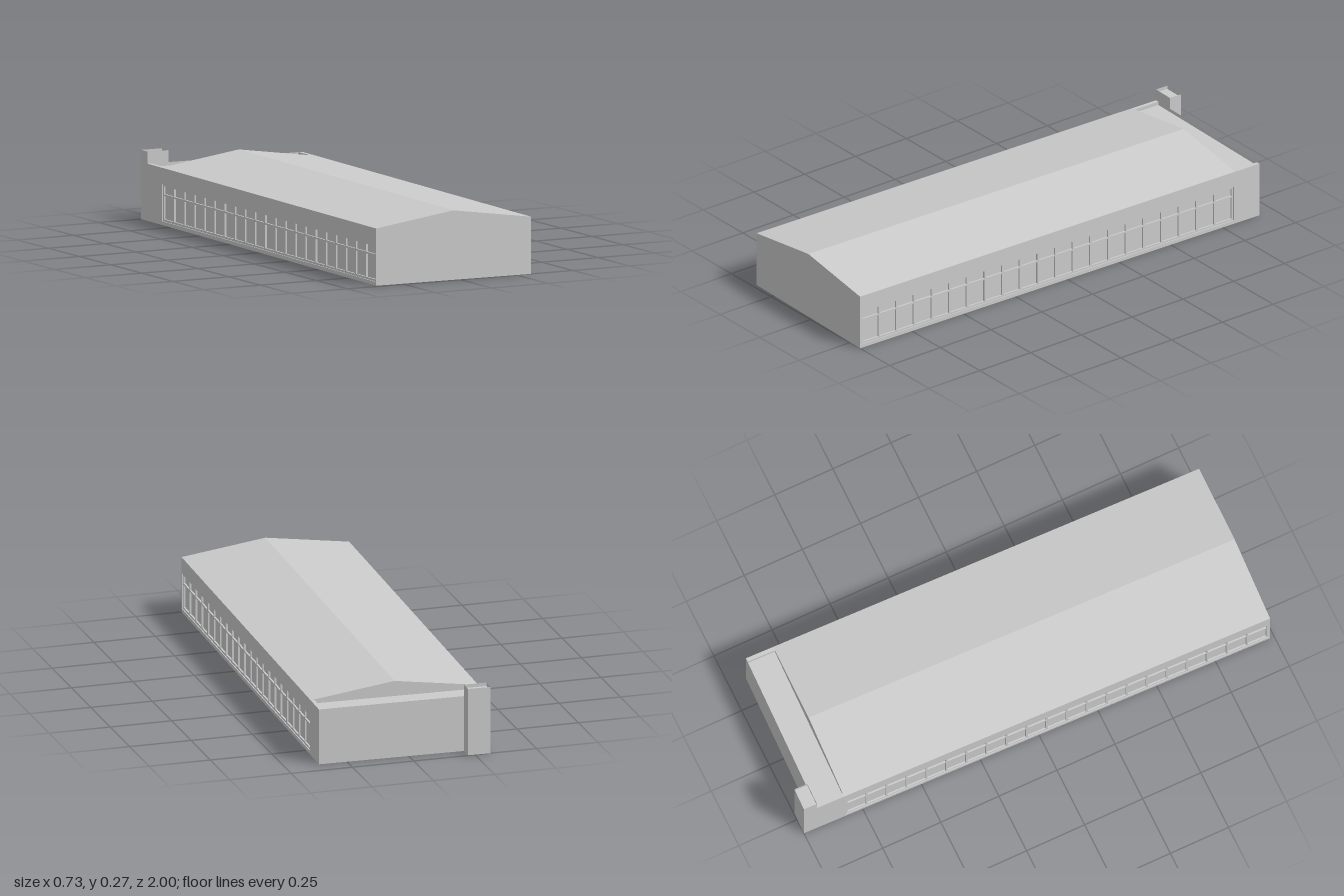
import * as THREE from 'three';

const W = 0.339, L = 0.964;          // half width, half length
const EAVE = 0.225, RIDGE = 0.273;   // heights
const PART = -0.848;                 // z of the rear gable
const WALL = 0.016;                  // side wall thickness
const RECESS = 0.014;                // depth of flat roofs below their rims

const solid = new THREE.MeshStandardMaterial({ color: 0xcccccc, flatShading: true });
const sheet = new THREE.MeshStandardMaterial({ color: 0xcccccc, flatShading: true, side: THREE.DoubleSide });

// Flat polygon from corners, counter-clockwise seen from its front
function panel(name, corners) {
  const pos = [];
  for (let i = 1; i < corners.length - 1; i++) pos.push(...corners[0], ...corners[i], ...corners[i + 1]);
  const g = new THREE.BufferGeometry();
  g.setAttribute('position', new THREE.Float32BufferAttribute(pos, 3));
  g.computeVertexNormals();
  const m = new THREE.Mesh(g, sheet);
  m.name = name;
  return m;
}

function box(name, x0, x1, y0, y1, z0, z1) {
  const m = new THREE.Mesh(new THREE.BoxGeometry(x1 - x0, y1 - y0, z1 - z0), solid);
  m.position.set((x0 + x1) / 2, (y0 + y1) / 2, (z0 + z1) / 2);
  m.name = name;
  return m;
}

// Pentagonal end wall, facing +z or -z
function gable(name, z, front) {
  const c = [[-W, 0, z], [W, 0, z], [W, EAVE, z], [0, RIDGE, z], [-W, EAVE, z]];
  return panel(name, front ? c : c.reverse());
}

// Long wall on the +x side with its strip of windows
function sideWall(name) {
  const g = new THREE.Group();
  g.name = name;
  const y0 = 0.015, y1 = 0.161, z0 = -0.84, z1 = L - 0.006;

  const s = new THREE.Shape([[-L, 0], [L, 0], [L, EAVE], [-L, EAVE]].map(p => new THREE.Vector2(...p)));
  s.holes.push(new THREE.Path([[z0, y0], [z0, y1], [z1, y1], [z1, y0]].map(p => new THREE.Vector2(...p))));
  const geo = new THREE.ExtrudeGeometry(s, { depth: WALL, bevelEnabled: false });
  geo.rotateY(-Math.PI / 2);           // shape x becomes z, depth becomes -x
  geo.translate(W, 0, 0);
  const wall = new THREE.Mesh(geo, solid);
  wall.name = 'wall';
  g.add(wall);

  // Glazing and frame bars
  const xo = W - 0.004, xi = W - WALL + 0.001, xg = W - 0.011;
  g.add(panel('glazing', [[xg, y0, z1], [xg, y0, z0], [xg, y1, z0], [xg, y1, z1]]));
  for (const [n, a, b] of [['sill', y0, y0 + 0.008], ['transom', 0.115, 0.122], ['lintel', y1 - 0.008, y1]])
    g.add(box(n, xi, xo, a, b, z0, z1));
  const bays = 21, t = 0.008;
  for (let i = 0; i <= bays; i++) {
    const z = z0 + (z1 - z0 - t) * i / bays;
    g.add(box('mullion', xi, xo, y0, y1, z, z + t));
  }
  return g;
}

export function createModel() {
  const model = new THREE.Group();
  model.name = 'hall';
  const hall = new THREE.Group();
  hall.name = 'building';
  hall.rotation.y = -0.026;
  hall.position.set(0, 0, 0.0275);
  model.add(hall);

  // End walls
  hall.add(gable('frontWall', L, true), gable('rearGable', PART, false));
  hall.add(panel('backWall', [[W, 0, -L], [-W, 0, -L], [-W, EAVE, -L], [W, EAVE, -L]]));

  // Long walls: the second is the first turned round and flipped end to end
  hall.add(sideWall('leftWall'));
  const right = sideWall('rightWall');
  right.scale.x = -1;
  hall.add(right);

  // Pitched roof
  hall.add(panel('roofLeft', [[W, EAVE, L], [W, EAVE, PART], [0, RIDGE, PART], [0, RIDGE, L]]));
  hall.add(panel('roofRight', [[-W, EAVE, PART], [-W, EAVE, L], [0, RIDGE, L], [0, RIDGE, PART]]));

  // Sunken flat roof behind the rear gable
  const fy = EAVE - RECESS;
  hall.add(panel('flatRoof', [[-W, fy, PART], [W, fy, PART], [W, fy, -L], [-W, fy, -L]]));

  // Chimney: open shaft with a sunken cap
  const chimney = new THREE.Group();
  chimney.name = 'chimney';
  const x0 = -W, x1 = -W + 0.091, c0 = -L - 0.055, c1 = -L, top = 0.272;
  const ring = [[x0, c1], [x1, c1], [x1, c0], [x0, c0]];
  ring.forEach(([ax, az], i) => {
    const [bx, bz] = ring[(i + 1) % 4];
    chimney.add(panel('chimneySide', [[ax, 0, az], [bx, 0, bz], [bx, top, bz], [ax, top, az]]));
  });
  chimney.add(panel('chimneyCap', ring.map(([x, z]) => [x, top - RECESS, z])));
  hall.add(chimney);

  return model;
}
